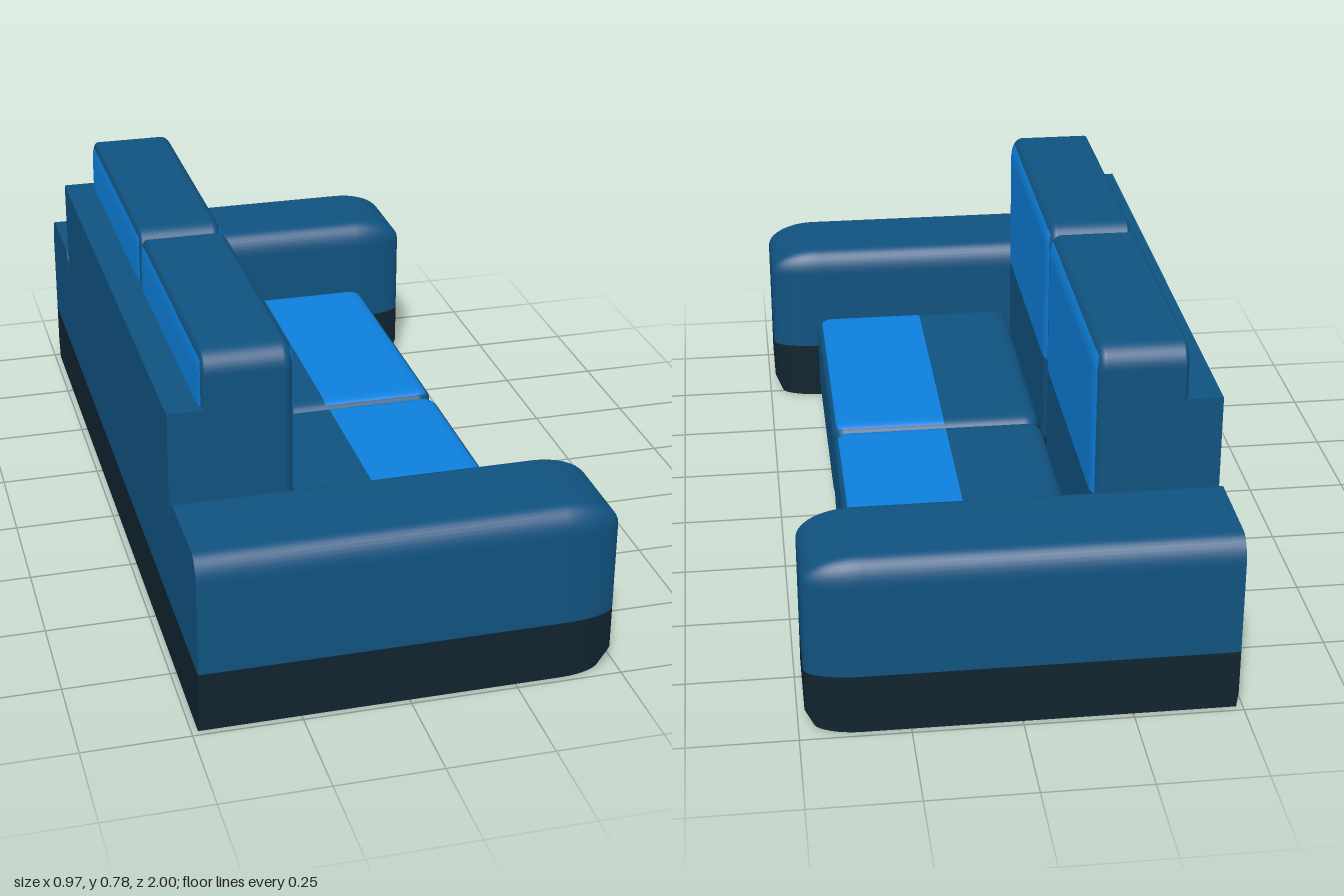
import * as THREE from 'three';

const flat = (name, color) => {
  const m = new THREE.MeshStandardMaterial({ color });
  m.name = name;
  return m;
};

// Positions along one axis: low rounding, extra cuts, high rounding
function ticks([lo, hi], [rLo, rHi], cuts) {
  const n = 5, out = [];
  const step = (i) => 1 - Math.tan((Math.PI / 4) * (1 - i / n));
  if (rLo > 0) for (let i = 0; i <= n; i++) out.push(lo + rLo * step(i));
  else out.push(lo);
  out.push(...cuts);
  if (rHi > 0) for (let i = n; i >= 0; i--) out.push(hi - rHi * step(i));
  else out.push(hi);
  return out;
}

// Box with its own rounding on every side; paint(face, centre) picks a material index.
// Faces are numbered +x, -x, +y, -y, +z, -z.
function softBox(name, ranges, radii, cuts, materials, paint, move) {
  const t = ranges.map((r, a) => ticks(r, radii[a], cuts[a] || []));
  const seg = t.map((list) => list.length - 1);
  const geo = new THREE.BoxGeometry(1, 1, 1, ...seg);
  const pos = geo.attributes.position, nor = geo.attributes.normal;
  for (let i = 0; i < pos.count; i++) {
    const p = [], d = [];
    let faceRadius = 0;
    const faceNormal = [nor.getX(i), nor.getY(i), nor.getZ(i)];
    for (let a = 0; a < 3; a++) {
      p[a] = t[a][Math.round((pos.getComponent(i, a) + 0.5) * seg[a])];
      const [lo, hi] = ranges[a], [rLo, rHi] = radii[a];
      d[a] = 0;
      if (rLo > 0 && p[a] < lo + rLo) d[a] = (p[a] - lo - rLo) / rLo;
      if (rHi > 0 && p[a] > hi - rHi) d[a] = (p[a] - hi + rHi) / rHi;
      if (Math.abs(faceNormal[a]) > 0.5) faceRadius = faceNormal[a] > 0 ? rHi : rLo;
    }
    const len = Math.hypot(...d);
    const normal = new THREE.Vector3(...faceNormal);
    if (len > 1e-6) {
      for (let a = 0; a < 3; a++) {
        const r = radii[a][d[a] > 0 ? 1 : 0];
        p[a] += (d[a] / len - d[a]) * r;
      }
      if (faceRadius > 0) {
        normal.set(...d.map((v, a) => v / (radii[a][v > 0 ? 1 : 0] || 1))).normalize();
      }
    }
    const v = new THREE.Vector3(...p);
    if (move) move(v);
    pos.setXYZ(i, v.x, v.y, v.z);
    nor.setXYZ(i, normal.x, normal.y, normal.z);
  }

  // Sort the triangles into one group per colour
  const lists = materials.map(() => []);
  const old = geo.index.array, centre = new THREE.Vector3(), corner = new THREE.Vector3();
  geo.groups.forEach((g, face) => {
    for (let k = g.start; k < g.start + g.count; k += 3) {
      centre.set(0, 0, 0);
      for (let j = 0; j < 3; j++) centre.add(corner.fromBufferAttribute(pos, old[k + j]));
      centre.divideScalar(3);
      lists[paint(face, centre)].push(old[k], old[k + 1], old[k + 2]);
    }
  });
  geo.clearGroups();
  geo.setIndex(lists.flat());
  let start = 0;
  lists.forEach((l, m) => {
    if (l.length) geo.addGroup(start, l.length, m);
    start += l.length;
  });
  const mesh = new THREE.Mesh(geo, materials);
  mesh.name = name;
  return mesh;
}

export function createModel() {
  const sofa = new THREE.Group();
  sofa.name = 'sofa';
  const dark = flat('dark base', 0x10242f);
  const blue = flat('deep blue fabric', 0x10527f);
  const bright = flat('bright blue fabric', 0x0d7fdc);
  const sharp = [0, 0];
  const plinthTop = 0.155;
  const byHeight = (face, c) => (c.y < plinthTop ? 0 : 1);

  // Plinth under the seat
  const plinth = new THREE.Mesh(new THREE.BoxGeometry(0.74, 0.15, 1.43), dark);
  plinth.name = 'plinth';
  plinth.position.set(-0.04, 0.075, 0);
  sofa.add(plinth);

  // Back panel with dark lower band
  sofa.add(softBox('backPanel', [[-0.485, -0.39], [0, 0.645], [-0.715, 0.715]],
    [sharp, sharp, sharp], [[], [plinthTop], []], [dark, blue], byHeight));

  for (const side of [1, -1]) {
    const label = side > 0 ? 'Left' : 'Right';
    const span = (a, b) => (side > 0 ? [a, b] : [-b, -a]);

    // Arm: rounded front and top, tucked in along the floor
    const tuck = (v) => {
      if (v.y > 0.001) return;
      v.x -= 0.02 * THREE.MathUtils.smoothstep(v.x, 0.35, 0.485);
      if (v.z * side > 0.94) v.z -= 0.015 * side;
    };
    sofa.add(softBox('arm' + label, [[-0.485, 0.485], [0, 0.44], span(0.715, 1)],
      [[0, 0.13], [0, 0.065], [0.045, 0.045]], [[], [0.05, plinthTop], []],
      [dark, blue], byHeight, tuck));

    // Seat cushion: bright front half on top and underneath
    sofa.add(softBox('seatCushion' + label, [[-0.18, 0.36], [0.03, 0.25], span(0.001, 0.715)],
      [[0.04, 0.04], [0.03, 0.03], [0.04, 0.04]], [[0.07], [], []], [blue, bright],
      (face, c) => ((face === 2 || face === 3) && c.x > 0.07 ? 1 : 0)));

    // Back cushion: bright rear and upper front
    sofa.add(softBox('backCushion' + label, [[-0.41, -0.19], [0.16, 0.777], span(0.001, 0.715)],
      [[0.015, 0.03], [0.03, 0.055], [0.05, 0.05]], [[], [0.41], []], [blue, bright],
      (face, c) => (face === 1 || (face === 0 && c.y > 0.41) ? 1 : 0)));
  }
  return sofa;
}
